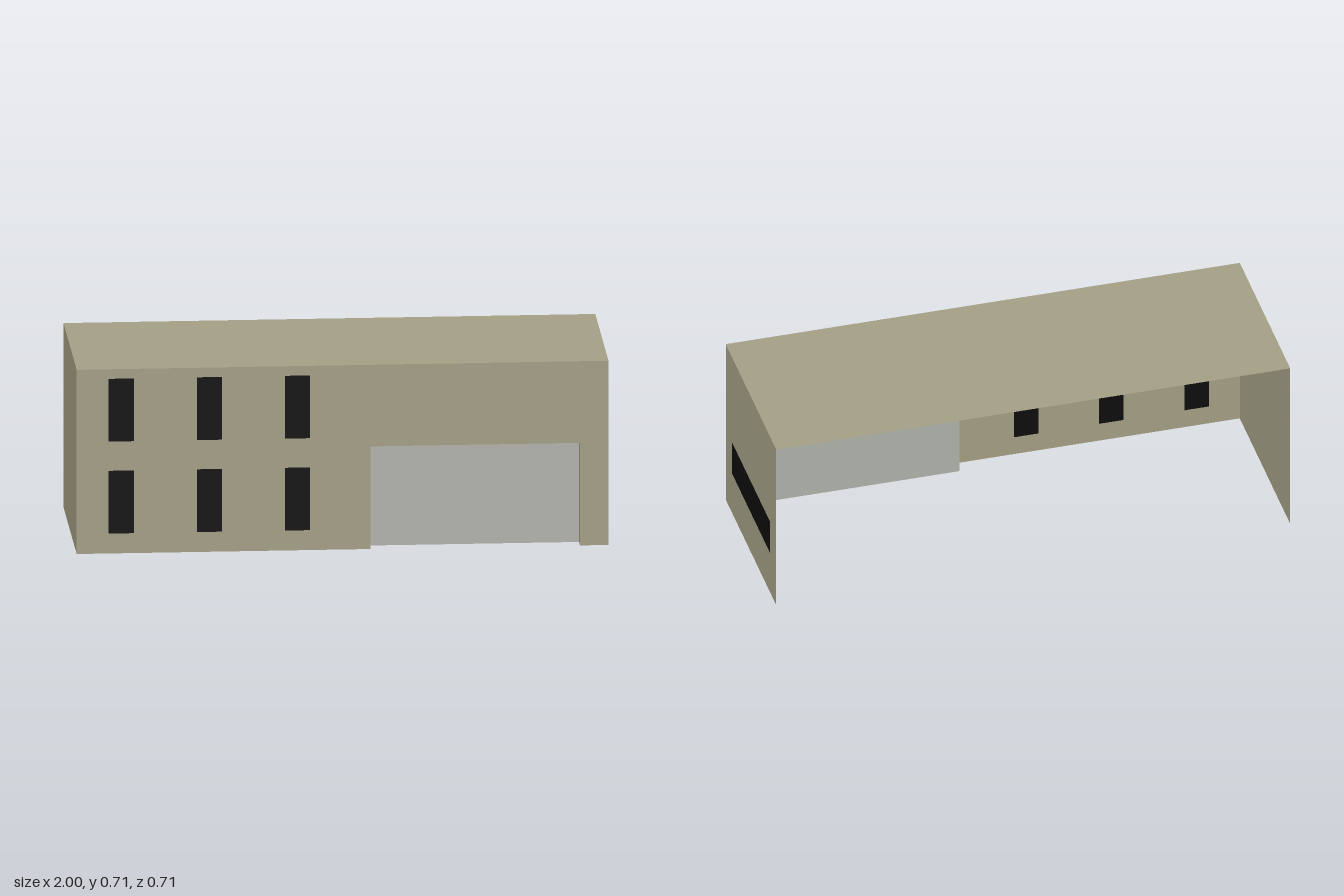
import * as THREE from 'three';

const W = 1, H = 0.713, D = 0.357;            // half width, height, half depth
const door = { x0: 0.105, x1: 0.893, top: 0.397, recess: 0.053 };

const paint = (color) => new THREE.MeshStandardMaterial({ color, side: THREE.DoubleSide });

// Closed outline from corner pairs
const outline = (Type, pts) => new Type(pts.map(([x, y]) => new THREE.Vector2(x, y)));
const rect = (Type, [x0, y0, x1, y1]) => outline(Type, [[x0, y0], [x1, y0], [x1, y1], [x0, y1]]);

export function createModel() {
  const model = new THREE.Group();
  model.name = 'building';
  const wallMat = paint(0xa39e84), doorMat = paint(0xafb2a9), glassMat = paint(0x0d0d0d);

  // Thin flat panel, turned and placed
  function panel(name, shape, mat, pos, rot = [0, 0, 0]) {
    const mesh = new THREE.Mesh(new THREE.ShapeGeometry(shape), mat);
    mesh.name = name;
    mesh.position.set(...pos);
    mesh.rotation.set(...rot);
    model.add(mesh);
  }

  // Wall with openings, each filled by a flush dark pane
  function wall(name, shape, openings, pos, rot) {
    shape.holes = openings.map((o) => rect(THREE.Path, o));
    panel(name, shape, wallMat, pos, rot);
    openings.forEach((o) => panel('window', rect(THREE.Shape, o), glassMat, pos, rot));
  }

  // Front wall: notch for the garage door, three columns of two windows
  const windows = [];
  for (const x of [-0.88, -0.548, -0.217])
    for (const y of [0.077, 0.433]) windows.push([x, y, x + 0.095, y + 0.243]);
  const front = outline(THREE.Shape, [
    [-W, 0], [door.x0, 0], [door.x0, door.top], [door.x1, door.top],
    [door.x1, 0], [W, 0], [W, H], [-W, H],
  ]);
  wall('frontWall', front, windows, [0, 0, D]);

  // End walls: only the +x end has a long window; the back is open
  const turn = [0, Math.PI / 2, 0], end = [-D, 0, D, H];
  wall('leftWall', rect(THREE.Shape, end), [[-0.272, 0.18, 0.272, 0.323]], [W, 0, 0], turn);
  wall('rightWall', rect(THREE.Shape, end), [], [-W, 0, 0], [0, -Math.PI / 2, 0]);

  // Flat roof
  panel('roof', rect(THREE.Shape, [-W, -D, W, D]), wallMat, [0, H, 0], [-Math.PI / 2, 0, 0]);

  // Recessed garage door with its jambs and lintel
  const r = door.recess;
  panel('garageDoor', rect(THREE.Shape, [door.x0, 0, door.x1, door.top]), doorMat, [0, 0, D - r]);
  for (const [x, side] of [[door.x0, 1], [door.x1, -1]])
    panel('doorJamb', rect(THREE.Shape, [-r / 2, 0, r / 2, door.top]), wallMat,
      [x, 0, D - r / 2], [0, side * Math.PI / 2, 0]);
  panel('doorLintel', rect(THREE.Shape, [door.x0, 0, door.x1, r]), wallMat,
    [0, door.top, D - r], [Math.PI / 2, 0, 0]);

  return model;
}
